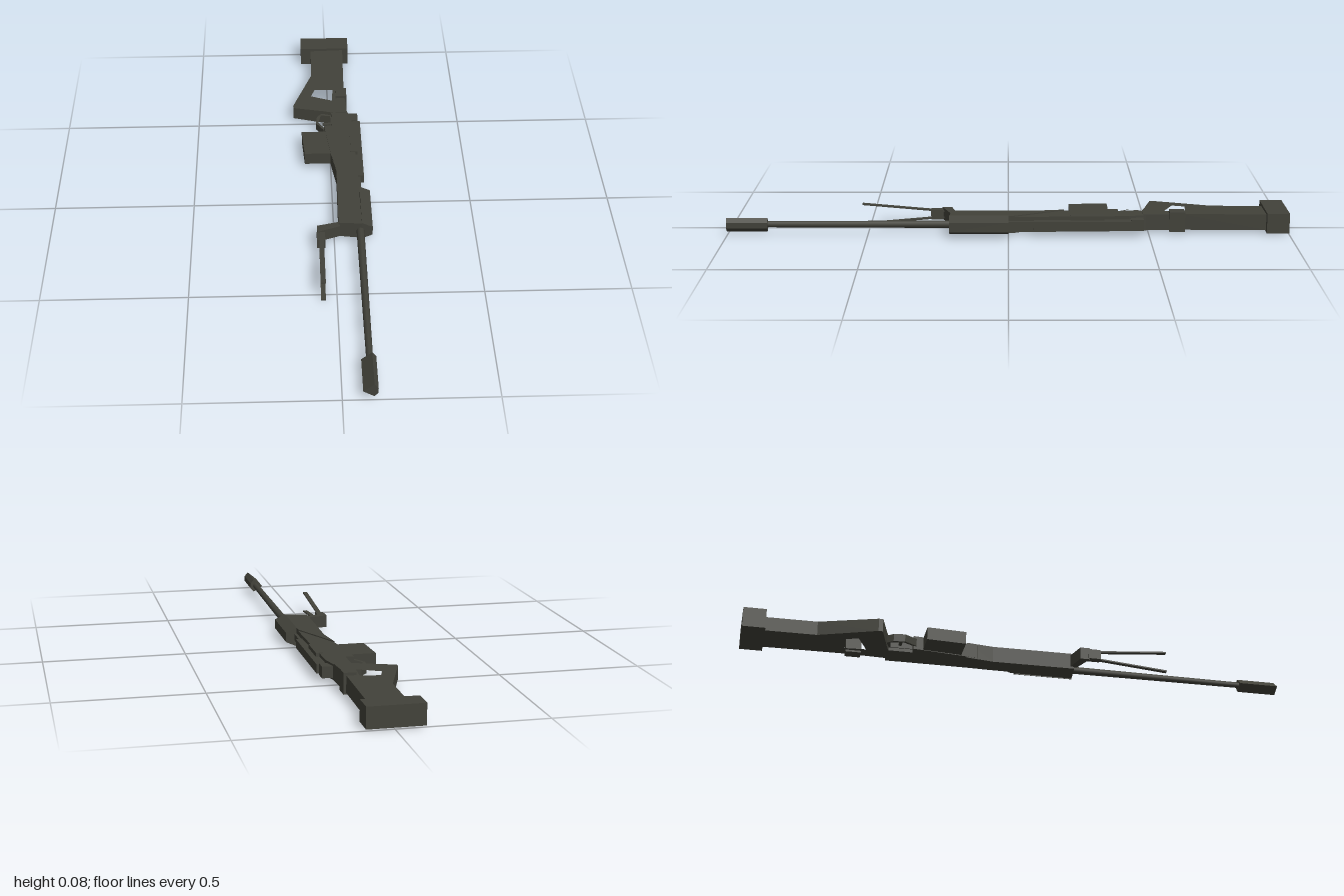
import * as THREE from 'three';

const MID = 0.04; // height of the centre plane the rifle lies around

export function createModel() {
  const model = new THREE.Group();
  const gunmetal = new THREE.MeshStandardMaterial({ color: 0x42423a });

  function add(name, geometry) {
    const mesh = new THREE.Mesh(geometry, gunmetal);
    mesh.name = name;
    model.add(mesh);
    return mesh;
  }

  // Box from its limits along each axis
  function box(name, x0, x1, y0, y1, z0, z1) {
    const g = new THREE.BoxGeometry(x1 - x0, y1 - y0, z1 - z0);
    g.translate((x0 + x1) / 2, (y0 + y1) / 2, (z0 + z1) / 2);
    return add(name, g);
  }

  // Plate cut from an [x, z] outline, thinner towards the -x side
  function plate(name, outline, half, holes = [], taper = 0) {
    const toPoints = (list) => list.map(([x, z]) => new THREE.Vector2(x, -z));
    const shape = new THREE.Shape(toPoints(outline));
    holes.forEach((h) => shape.holes.push(new THREE.Path(toPoints(h))));
    const g = new THREE.ExtrudeGeometry(shape, { depth: 2 * half, bevelEnabled: false });
    g.translate(0, 0, -half).rotateX(-Math.PI / 2);
    const p = g.attributes.position;
    for (let i = 0; i < p.count; i++) {
      p.setY(i, MID + p.getY(i) * (1 + taper * (p.getX(i) - 0.1)));
    }
    g.computeVertexNormals();
    return add(name, g);
  }

  // Prism along z from an [x, y] cross-section
  function prism(name, section, z0, z1) {
    const shape = new THREE.Shape(section.map(([x, y]) => new THREE.Vector2(x, y)));
    const g = new THREE.ExtrudeGeometry(shape, { depth: z1 - z0, bevelEnabled: false });
    return add(name, g.translate(0, 0, z0));
  }

  // Stock with thumbhole and grip
  plate('stock', [
    [-0.06, -0.93], [0.068, -0.93], [0.063, -0.62], [0.07, -0.48], [0.01, -0.48],
    [-0.02, -0.49], [-0.135, -0.52], [-0.135, -0.535], [-0.062, -0.74],
  ], 0.03, [[[-0.05, -0.64], [0.02, -0.635], [0.015, -0.56], [-0.065, -0.595]]], 0.9);
  box('buttPad', -0.1, 0.09, 0.005, 0.077, -1, -0.92);
  box('stockCollar', 0.03, 0.072, 0.005, 0.078, -0.63, -0.575);

  // Receiver running into the fore-end
  plate('receiver', [
    [0.01, -0.49], [0.07, -0.49], [0.085, -0.43], [0.095, -0.1], [0.095, 0],
    [0.008, -0.16], [0, -0.22], [-0.02, -0.395], [0.01, -0.395],
  ], 0.028, [], 0.9);
  plate('foreEnd', [
    [0.003, -0.2], [0.095, -0.02], [0.097, 0.21], [0.015, 0.2], [0.018, -0.1],
  ], 0.032, [], 0.9);

  // Trigger guard and trigger
  plate('triggerGuard', [
    [-0.02, -0.5], [0.012, -0.5], [0.012, -0.385], [-0.022, -0.385], [-0.05, -0.43], [-0.045, -0.47],
  ], 0.014, [[[-0.03, -0.48], [0.006, -0.475], [0.006, -0.395], [-0.018, -0.395], [-0.04, -0.432]]]);
  box('trigger', -0.025, 0.01, MID - 0.004, MID + 0.004, -0.445, -0.435);

  // Magazine
  plate('magazine', [[-0.105, -0.36], [0.0, -0.36], [0.01, -0.22], [-0.096, -0.22]], 0.023);

  // Bolt housing, rails and fore-end cover
  box('rearSight', 0.065, 0.11, 0.02, 0.06, -0.48, -0.435);
  box('boltHousing', 0.075, 0.118, 0.024, 0.056, -0.435, -0.09);
  box('ejectionCover', 0.075, 0.1, 0.03, 0.07, -0.34, -0.22);
  box('sightRail', 0.085, 0.105, 0.028, 0.052, -0.15, 0);
  prism('foreEndCover', [[0.097, 0.005], [0.135, 0.022], [0.135, 0.056], [0.097, 0.074]], 0, 0.21);

  // Barrel, slightly narrower at the muzzle, and muzzle brake
  const barrel = new THREE.CylinderGeometry(0.011, 0.014, 0.72, 8);
  barrel.rotateX(Math.PI / 2).translate(0.092, MID, 0.54);
  add('barrel', barrel);
  prism('muzzleBrake', [[0.065, 0.037], [0.1, 0.016], [0.113, 0.03], [0.113, 0.05], [0.1, 0.066]], 0.855, 1);

  // Bipod bracket, hinge and splayed legs
  plate('bipodBracket', [[-0.06, 0.205], [0.02, 0.185], [0.02, 0.21], [-0.06, 0.24]], 0.022);
  box('bipodHinge', -0.062, -0.033, 0.022, 0.058, 0.235, 0.28);
  for (const side of [-1, 1]) {
    const leg = new THREE.BoxGeometry(0.016, 0.005, 0.3);
    leg.rotateX(-side * 0.088).translate(-0.046, MID + side * 0.024, 0.38);
    add('bipodLeg', leg);
  }

  return model;
}
